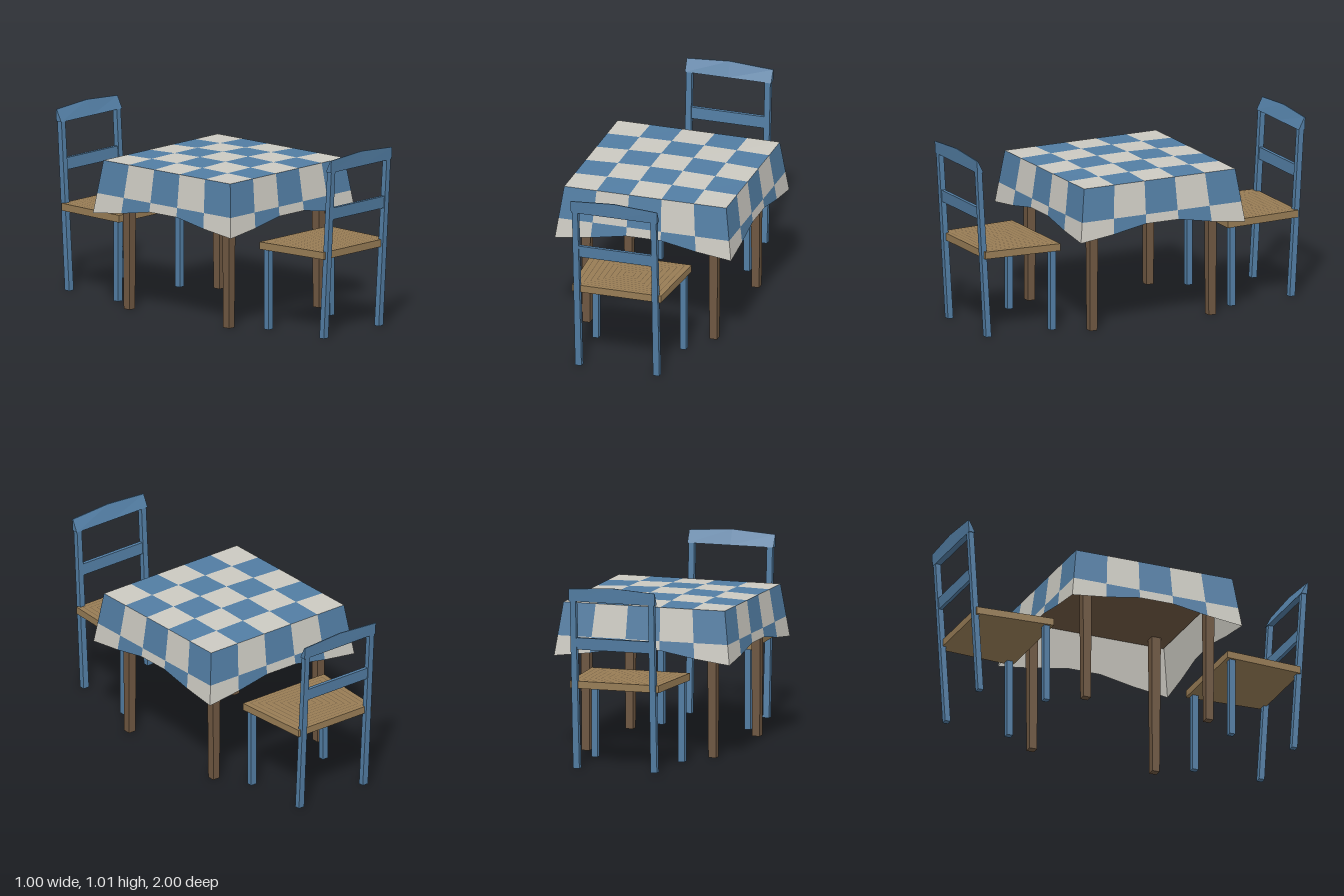
import * as THREE from 'three';

const paint = (name, color) => {
  const m = new THREE.MeshStandardMaterial({ color });
  m.name = name;
  return m;
};

export function createModel() {
  const blue = paint('blue', 0x527da3);
  const white = paint('offWhite', 0xcbc9c1);
  const tan = paint('wovenTan', 0x977c55);
  const groove = paint('grooveBrown', 0x715c40);
  const brown = paint('tableBrown', 0x6e5741);

  const model = new THREE.Group();
  model.name = 'diningSet';

  const add = (parent, name, geo, mat) => {
    const mesh = new THREE.Mesh(geo, mat);
    mesh.name = name;
    parent.add(mesh);
    return mesh;
  };

  // Box whose vertices are placed by rule(x, y, z), inputs running from -0.5 to 0.5
  const shaped = (rule, xSegments = 1) => {
    const g = new THREE.BoxGeometry(1, 1, 1, xSegments, 1, 1).toNonIndexed();
    const p = g.attributes.position;
    for (let i = 0; i < p.count; i++) p.setXYZ(i, ...rule(p.getX(i), p.getY(i), p.getZ(i)));
    g.computeVertexNormals();
    return g;
  };

  // Bar between two horizontal rectangles: [x, y, z, width, depth]
  const bar = (lo, hi) => shaped((x, y, z) => {
    const r = y > 0 ? hi : lo;
    return [r[0] + x * r[3], r[1], r[2] + z * r[4]];
  });

  // Flat-shaded faces from a list of quads, corners counter-clockwise
  const quads = (list) => {
    const pos = list.flatMap(([a, b, c, d]) => [a, b, c, a, c, d].flat());
    const g = new THREE.BufferGeometry();
    g.setAttribute('position', new THREE.Float32BufferAttribute(pos, 3));
    g.computeVertexNormals();
    return g;
  };

  // ---- Table ----
  const table = new THREE.Group();
  table.name = 'table';
  model.add(table);
  const board = add(table, 'tableTop', new THREE.BoxGeometry(0.91, 0.018, 0.91), brown);
  board.position.y = 0.803;
  for (const sx of [-1, 1]) for (const sz of [-1, 1]) {
    add(table, 'tableLeg', bar(
      [sx * 0.361, 0, sz * 0.361, 0.043, 0.043],
      [sx * 0.361, 0.8, sz * 0.361, 0.053, 0.053]), brown);
  }

  // ---- Tablecloth: 5 x 5 checks on top, two rows of checks hanging on each side ----
  const lines = [-0.46, -0.276, -0.092, 0.092, 0.276, 0.46];
  const dome = [0, 0.6, 1, 1, 0.6, 0];
  const hem = [0.53, 0.555, 0.59, 0.59, 0.555, 0.53];
  const checks = [[], []];
  const lining = [];

  const topPoint = (i, j) => [lines[i], 0.82 + 0.012 * dome[i] * dome[j], lines[j]];
  const drapePoint = (i, row, inset, side) => {
    const y = [0.82, 0.64, hem[i]][row];
    const reach = 0.46 + (0.82 - y) / 0.29 * 0.04;
    let x = lines[i] * reach / 0.46 * (1 - inset);
    let z = reach * (1 - inset);
    for (let k = 0; k < side; k++) [x, z] = [z, -x];
    return [x, y, z];
  };

  for (let i = 0; i < 5; i++) {
    for (let j = 0; j < 5; j++) {
      checks[(i + j) % 2].push([
        topPoint(i, j + 1), topPoint(i + 1, j + 1), topPoint(i + 1, j), topPoint(i, j)]);
    }
    for (let side = 0; side < 4; side++) for (let row = 0; row < 2; row++) {
      const corners = (inset) => [
        drapePoint(i, row + 1, inset, side), drapePoint(i + 1, row + 1, inset, side),
        drapePoint(i + 1, row, inset, side), drapePoint(i, row, inset, side)];
      checks[(i + row + 1) % 2].push(corners(0));
      lining.push(corners(0.004).reverse());
    }
  }
  add(table, 'clothWhiteChecks', quads(checks[0]), white);
  add(table, 'clothBlueChecks', quads(checks[1]), blue);
  add(table, 'clothLining', quads(lining), white);

  // ---- Chair, with its back towards +z ----
  const makeChair = (name) => {
    const chair = new THREE.Group();
    chair.name = name;

    // Seat tapers towards the back
    add(chair, 'seat', shaped((x, y, z) =>
      [x * (z > 0 ? 0.505 : 0.56), y > 0 ? 0.48 : 0.44, z > 0 ? 0.953 : 0.51]), tan);

    // Concentric woven grooves on the seat
    const ring = (s) => [[-1, 1], [1, 1], [1, -1], [-1, -1]].map(([x, z]) =>
      [x * s * (0.266 - 0.0135 * z * s), 0.481, 0.7315 + z * s * 0.2215]);
    const strips = [];
    for (let k = 1; k <= 8; k++) {
      const outer = ring(k * 0.112), inner = ring(k * 0.112 - 0.014);
      for (let e = 0; e < 4; e++) {
        const n = (e + 1) % 4;
        strips.push([outer[e], outer[n], inner[n], inner[e]]);
      }
    }
    add(chair, 'seatGrooves', quads(strips), groove);

    // Straight front legs and leaning back posts
    for (const s of [-1, 1]) {
      add(chair, 'frontLeg', bar(
        [s * 0.248, 0, 0.546, 0.035, 0.034], [s * 0.248, 0.445, 0.546, 0.035, 0.034]), blue);
      add(chair, 'backPost', bar(
        [s * 0.221, 0, 0.924, 0.036, 0.032], [s * 0.223, 0.93, 0.98, 0.032, 0.03]), blue);
    }

    // Middle rail follows the lean of the posts
    add(chair, 'middleRail', bar(
      [0, 0.657, 0.964, 0.42, 0.02], [0, 0.722, 0.968, 0.42, 0.02]), blue);

    // Top rail: wedge section with a peaked upper edge
    add(chair, 'topRail', shaped((x, y, z) => [
      x * 0.49,
      y > 0 ? 1.006 - 0.032 * Math.abs(x) : 0.923,
      y > 0 ? (z > 0 ? 1 : 0.994) : (z > 0 ? 0.996 : 0.96)], 2), blue);
    return chair;
  };

  const frontChair = makeChair('frontChair');
  const backChair = makeChair('backChair');
  backChair.rotation.y = Math.PI;
  model.add(frontChair, backChair);
  return model;
}
